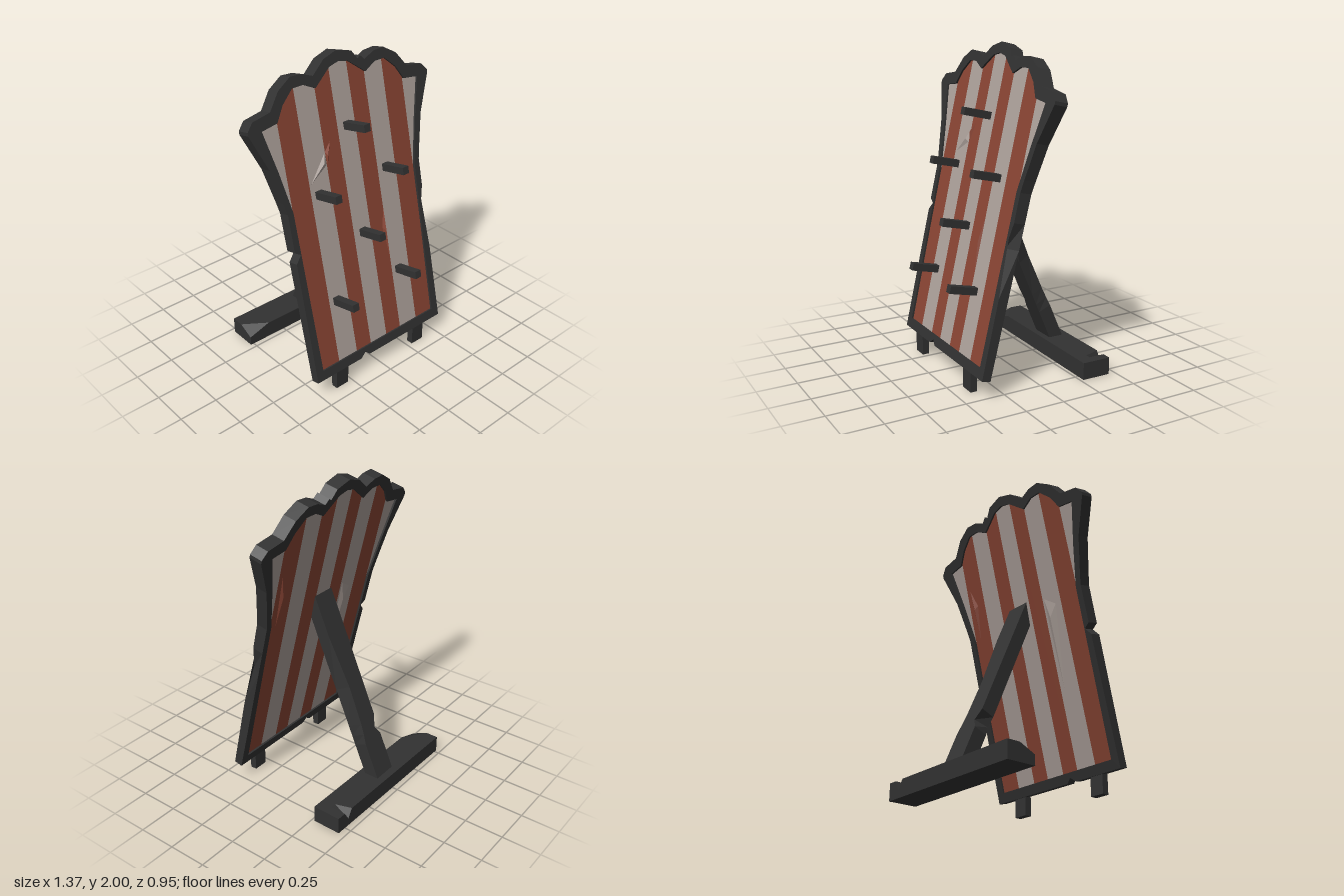
import * as THREE from 'three';
import { ConvexGeometry } from 'three/addons/geometries/ConvexGeometry.js';

const TILT = 0.225, FOOT = 0.125, RECESS = 0.012;

// Height above ground -> distance along the tilted board, and board thickness there
const along = (y) => (y - FOOT) / Math.cos(TILT);
const thickness = (v) => 0.056 + 0.017 * v;

const mat = (name, color) => {
  const m = new THREE.MeshStandardMaterial({ color });
  m.name = name;
  return m;
};

function add(parent, name, geometry, material) {
  let g = geometry;
  if (g.index) g = g.toNonIndexed();
  g.computeVertexNormals(); // unshared corners give flat facets
  const mesh = new THREE.Mesh(g, material);
  mesh.name = name;
  parent.add(mesh);
  return mesh;
}

const toPoints = (pts) => pts.map(([x, y]) => new THREE.Vector2(x, along(y)));

// Slab following the board's taper, set in by a recess on both faces
function slab(shape, recess) {
  const g = new THREE.ExtrudeGeometry(shape, { depth: 1, bevelEnabled: false });
  const p = g.attributes.position;
  for (let i = 0; i < p.count; i++) {
    const t = thickness(p.getY(i));
    p.setZ(i, -recess - (1 - p.getZ(i)) * (t - 2 * recess));
  }
  return g;
}

// Beam through cross-sections, each ordered counter-clockwise seen from the far end
function loft(sections) {
  const pos = [], n = sections[0].length, last = sections[sections.length - 1];
  for (let i = 0; i + 1 < sections.length; i++) {
    const a = sections[i], b = sections[i + 1];
    for (let j = 0; j < n; j++) {
      const k = (j + 1) % n;
      pos.push(...a[j], ...a[k], ...b[k], ...a[j], ...b[k], ...b[j]);
    }
  }
  for (let j = 1; j + 1 < n; j++) {
    pos.push(...sections[0][0], ...sections[0][j + 1], ...sections[0][j]);
    pos.push(...last[0], ...last[j], ...last[j + 1]);
  }
  const g = new THREE.BufferGeometry();
  g.setAttribute('position', new THREE.Float32BufferAttribute(pos, 3));
  return g;
}

export function createModel() {
  const wood = mat('dark wood', 0x323232);
  const red = mat('red cloth', 0x8a4534);
  const pale = mat('pale cloth', 0xaea29c);

  const model = new THREE.Group();
  model.name = 'stripedPegBoard';
  const board = new THREE.Group();
  board.name = 'board';
  board.position.set(0, FOOT, 0.41);
  board.rotation.x = -TILT;
  model.add(board);

  // Scalloped outline: flared side and crown, mirrored
  const flare = [[0.525, 1.2], [0.54, 1.27], [0.59, 1.48], [0.685, 1.7], [0.685, 1.72],
    [0.645, 1.765], [0.52, 1.785], [0.445, 1.88], [0.35, 1.935], [0.27, 1.93], [0.195, 1.9]];
  const flip = (pts) => pts.map(([x, y]) => [-x, y]).reverse();
  const outer = [
    [0.525, FOOT], [0.525, 0.6], [0.525, 0.88], [0.525, 1.03], ...flare,
    [0.165, 1.93], [0.145, 1.915], [0.105, 1.97], [0, 2], [-0.105, 1.97], ...flip(flare),
    [-0.525, 0.97], [-0.485, 0.945], [-0.525, 0.9], [-0.525, FOOT],
    [-0.17, FOOT], [-0.13, 0.155], [-0.1, FOOT],
  ];

  // Cloth opening
  const side = [[0.472, 0.185], [0.485, 1.2], [0.535, 1.45], [0.595, 1.7]];
  const crown = [[0.485, 1.715], [0.43, 1.8], [0.35, 1.87], [0.27, 1.87], [0.19, 1.83], [0.07, 1.92]];
  const top = [...flip(crown).reverse(), [0, 1.935], ...crown.slice().reverse()];
  const opening = [...side, ...crown, [0, 1.935], ...flip(crown), ...flip(side)];

  const frameShape = new THREE.Shape(toPoints(outer));
  frameShape.holes.push(new THREE.Path(toPoints(opening)));
  const frameGeo = slab(frameShape, 0);
  const fp = frameGeo.attributes.position;
  for (let i = 0; i < fp.count; i++) { // gouge in the front edge
    if (fp.getX(i) > 0.52 && Math.abs(fp.getY(i) - along(0.88)) < 0.01 && fp.getZ(i) > -0.001) {
      fp.setX(i, 0.487);
    }
  }
  add(board, 'frame', frameGeo, wood);

  // Vertical cloth stripes under the crown curve
  const topAt = (x) => {
    for (let i = 0; i + 1 < top.length; i++) {
      const [x0, y0] = top[i], [x1, y1] = top[i + 1];
      if (x >= x0 && x <= x1) return y0 + (y1 - y0) * (x - x0) / (x1 - x0);
    }
    return 1.715;
  };
  const cuts = [-0.48, -0.335, -0.188, -0.069, 0.066, 0.188, 0.333, 0.48];
  for (let i = 0; i + 1 < cuts.length; i++) {
    const a = cuts[i], b = cuts[i + 1];
    const ridge = top.filter(([x]) => x > a + 0.003 && x < b - 0.003).reverse();
    const pts = [[a, 0.18], [b, 0.18], [b, topAt(b)], ...ridge, [a, topAt(a)]];
    add(board, 'clothStripe', slab(new THREE.Shape(toPoints(pts)), RECESS), i % 2 ? pale : red);
  }
  const wing = [[0.48, 1.17], [0.485, 1.2], [0.535, 1.45], [0.595, 1.7], [0.48, 1.715]];
  for (const pts of [wing, flip(wing)]) {
    add(board, 'clothWing', slab(new THREE.Shape(toPoints(pts)), RECESS), pale);
  }

  // Shallow folds in the cloth: three corners and a raised point
  const fold = (corners, peak, front, material) => {
    const at = ([x, y], lift) => {
      const v = along(y);
      return new THREE.Vector3(x, v, front ? -RECESS + lift : RECESS - thickness(v) - lift);
    };
    const pts = [...corners.map((c) => at(c, 0.0005)), at(peak, 0.014)];
    add(board, 'clothFold', new ConvexGeometry(pts), material);
  };
  fold([[-0.32, 1.31], [-0.19, 1.46], [-0.19, 1.385]], [-0.215, 1.4], true, pale);
  fold([[-0.19, 1.46], [-0.14, 1.51], [-0.18, 1.385]], [-0.178, 1.44], true, red);
  fold([[0.188, 1.0], [0.16, 0.87], [0.188, 0.66]], [0.178, 0.85], true, red);
  fold([[-0.2, 1.23], [-0.29, 1.17], [-0.22, 0.66]], [-0.235, 1.1], false, pale);
  fold([[0.45, 1.52], [0.4, 1.4], [0.43, 1.18]], [0.425, 1.38], false, red);

  // Pegs standing square to the board
  for (const [x, y] of [[0, 1.567], [-0.28, 1.237], [0.25, 1.237], [0, 0.907], [-0.28, 0.57], [0.24, 0.57]]) {
    add(board, 'peg', new THREE.BoxGeometry(0.046, 0.046, 0.2), wood).position.set(x, along(y), 0.07);
  }

  // Front feet
  for (const x of [-0.328, 0.332]) {
    add(model, 'frontFoot', new THREE.BoxGeometry(0.095, 0.135, 0.043), wood).position.set(x, 0.0675, 0.386);
  }

  // Rear strut with chipped edges; the top is cut to lie against the board.
  // Each row: front length, back length, inset of left and right back edges
  const rows = [[-0.05, -0.05, 0, 0], [0.22, 0.22, 0, 0], [0.28, 0.28, 0.035, 0.012],
    [0.35, 0.35, 0, 0.02], [0.6, 0.6, 0, 0.028], [0.95, 0.95, 0, 0], [1.086, 1.212, 0, 0]];
  const strut = add(model, 'rearStrut', loft(rows.map(([f, b, l, r]) => [
    [-0.06 + l * 0.4, f, 0.044], [0.1, f, 0.044], [0.1 - r, b, -0.044], [-0.06 + l, b, -0.044],
  ])), wood);
  strut.position.set(0, 0.11, -0.365);
  strut.rotation.x = 0.407;

  // Rear ground beam: position, front top, ridge offset and back top heights
  const beamRows = [[-0.54, 0.06, -0.01, 0.108], [-0.39, 0.108, 0.01, 0.108], [0.41, 0.108, 0.01, 0.108],
    [0.445, 0.108, 0.01, 0.05], [0.48, 0.108, 0.01, 0.108], [0.54, 0.108, 0.01, 0.108]];
  const beam = add(model, 'rearBeam', loft(beamRows.map(([x, ft, mid, bt]) => [
    [x, 0, 0.093], [x, 0, -0.093], [x, bt, -0.093], [x, 0.108, mid], [x, ft, 0.093],
  ])), wood);
  beam.position.set(0.02, 0, -0.37);
  beam.rotation.y = -0.014;

  return model;
}
